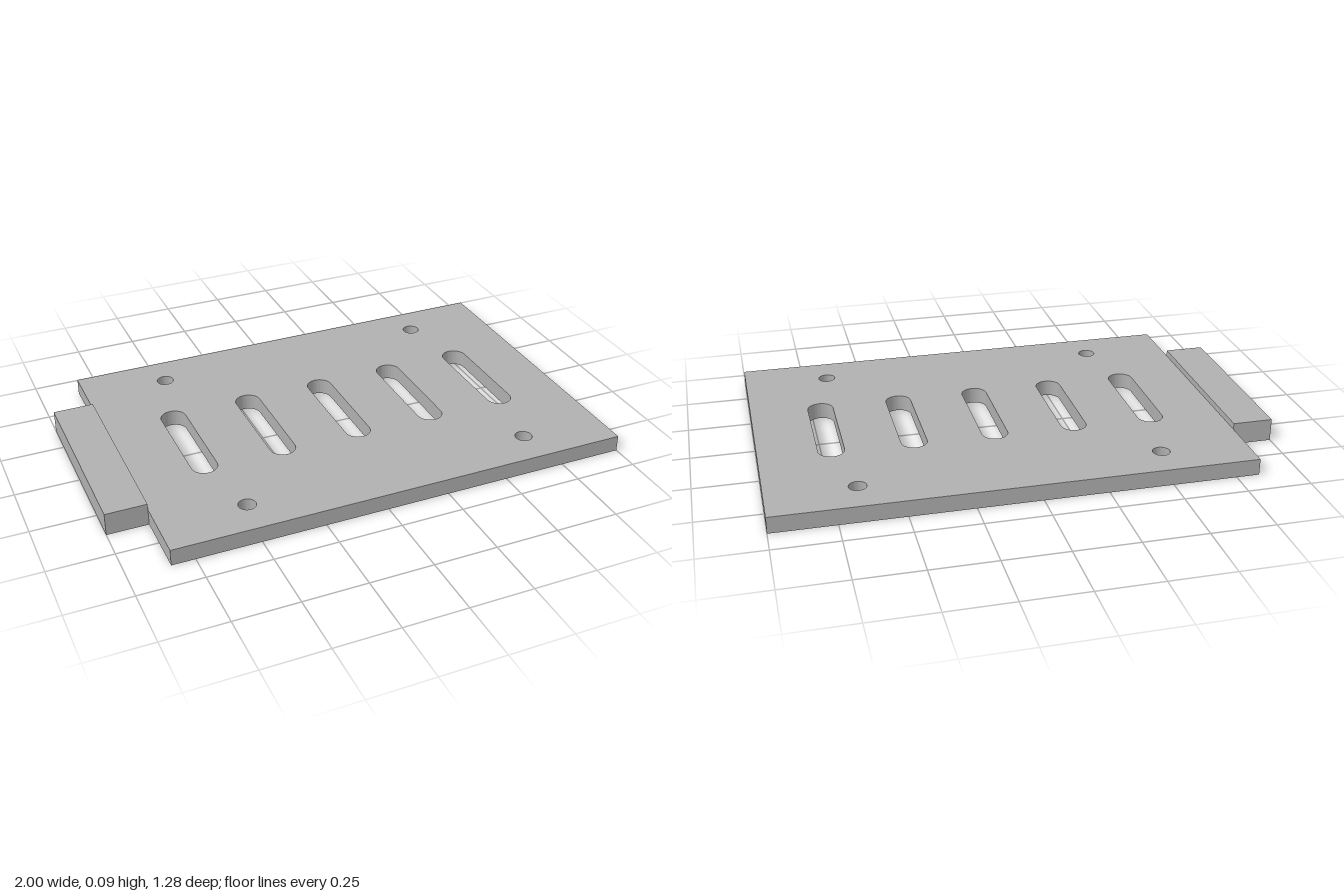
import * as THREE from 'three';
import { toCreasedNormals } from 'three/addons/utils/BufferGeometryUtils.js';

const PLATE_HEIGHT = 0.065;
const TAB_HEIGHT = 0.09;

// Upright slot outline with round ends
function slotPath(x, halfLength, radius) {
  const path = new THREE.Path();
  const y = halfLength - radius;
  path.moveTo(x + radius, -y);
  path.lineTo(x + radius, y);
  path.absarc(x, y, radius, 0, Math.PI, false);
  path.lineTo(x - radius, -y);
  path.absarc(x, -y, radius, Math.PI, Math.PI * 2, false);
  return path;
}

function holePath(x, y, radius) {
  return new THREE.Path().absarc(x, y, radius, 0, Math.PI * 2, false);
}

export function createModel() {
  const group = new THREE.Group();
  group.name = 'slottedPlate';

  const grey = new THREE.MeshStandardMaterial({ color: 0xb0b0b0 });
  grey.name = 'grey';

  // Flat plate with a row of vent slots and four screw holes
  const outline = new THREE.Shape([
    new THREE.Vector2(-0.84, -0.64),
    new THREE.Vector2(1, -0.64),
    new THREE.Vector2(1, 0.64),
    new THREE.Vector2(-0.84, 0.64),
  ]);
  for (let i = 0; i < 5; i++) {
    outline.holes.push(slotPath(-0.56 + i * 0.32, 0.24, 0.051));
  }
  for (const x of [-0.5, 0.66]) {
    for (const y of [-0.49, 0.49]) outline.holes.push(holePath(x, y, 0.034));
  }
  const plateGeometry = new THREE.ExtrudeGeometry(outline, {
    depth: PLATE_HEIGHT, bevelEnabled: false, curveSegments: 20,
  });
  plateGeometry.rotateX(-Math.PI / 2);
  const plate = new THREE.Mesh(toCreasedNormals(plateGeometry, 0.6), grey);
  plate.name = 'plate';
  group.add(plate);

  // Thicker tab on the right edge
  const tab = new THREE.Mesh(new THREE.BoxGeometry(0.16, TAB_HEIGHT, 0.76), grey);
  tab.name = 'tab';
  tab.position.set(-0.92, TAB_HEIGHT / 2, 0);
  group.add(tab);

  return group;
}
